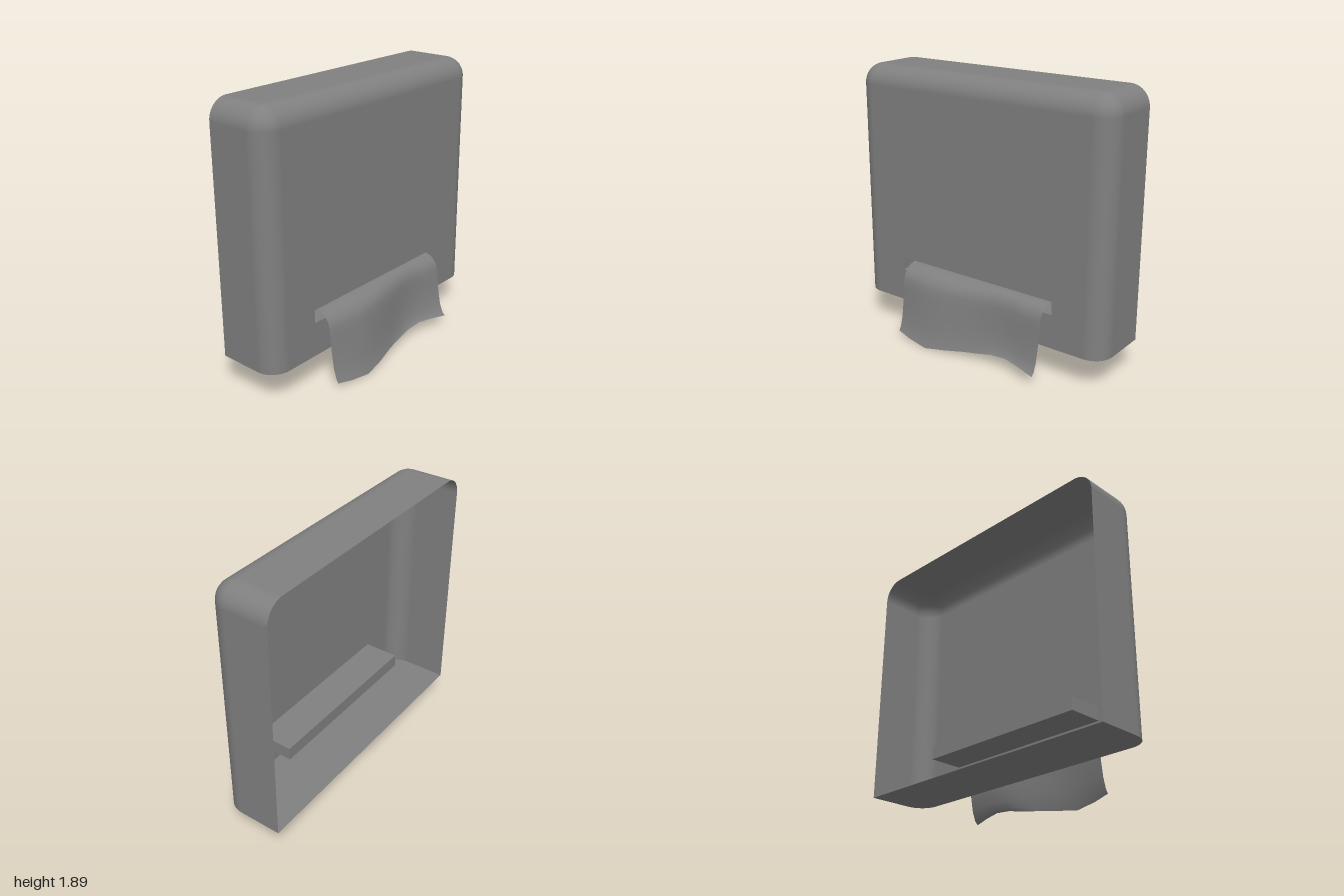
import * as THREE from 'three';

const BACK = -0.3, FRONT = 0.138, BASE = 0.225, TOP = 1.89, HALF = 1, R = 0.135;
const SLOT = { half: 0.627, y0: 0.458, y1: 0.549, depth: 0.245 };

const material = new THREE.MeshStandardMaterial({ color: 0x808080, side: THREE.DoubleSide });

function part(name, geometry) {
  const mesh = new THREE.Mesh(geometry, material);
  mesh.name = name;
  return mesh;
}

// Index for a grid of vertices stored row by row
function gridIndex(rows, cols) {
  const index = [];
  for (let i = 0; i < rows - 1; i++) {
    for (let j = 0; j < cols - 1; j++) {
      const a = i * cols + j, b = a + cols;
      index.push(a, b, a + 1, b, b + 1, a + 1);
    }
  }
  return index;
}

// Sides and top of the cover, rolling over into the front face
function coverShell() {
  const steps = 10, outline = [];
  const cy = TOP - R, cz = HALF - R;
  outline.push({ y: BASE, z: cz, dy: 0, dz: 1 });
  for (const side of [1, -1]) {
    for (let k = 0; k <= steps; k++) {
      const t = (side > 0 ? k : steps - k) / steps * Math.PI / 2;
      outline.push({ y: cy, z: side * cz, dy: Math.sin(t), dz: side * Math.cos(t) });
    }
  }
  outline.push({ y: BASE, z: -cz, dy: 0, dz: -1 });

  const rings = [{ x: BACK, a: 0 }];
  for (let k = 0; k <= steps; k++) {
    const a = k / steps * Math.PI / 2;
    rings.push({ x: FRONT - R + R * Math.sin(a), a });
  }
  const pos = [], nor = [];
  for (const { x, a } of rings) {
    const c = Math.cos(a);
    for (const p of outline) {
      pos.push(x, p.y + p.dy * R * c, p.z + p.dz * R * c);
      nor.push(Math.sin(a), p.dy * c, p.dz * c);
    }
  }
  const g = new THREE.BufferGeometry();
  g.setAttribute('position', new THREE.Float32BufferAttribute(pos, 3));
  g.setAttribute('normal', new THREE.Float32BufferAttribute(nor, 3));
  g.setIndex(gridIndex(rings.length, outline.length));
  return g;
}

function rectangle(Type, x0, y0, x1, y1) {
  return new Type([[x0, y0], [x1, y0], [x1, y1], [x0, y1]].map(p => new THREE.Vector2(...p)));
}

// Flat front face with the slot cut out
function frontFace() {
  const w = HALF - R;
  const shape = rectangle(THREE.Shape, -w, BASE, w, TOP - R);
  shape.holes.push(rectangle(THREE.Path, -SLOT.half, SLOT.y0, SLOT.half, SLOT.y1));
  return new THREE.ShapeGeometry(shape).rotateY(Math.PI / 2).translate(FRONT, 0, 0);
}

// Floor with rounded front corners
function floorPlate() {
  const s = new THREE.Shape();
  s.moveTo(BACK, -HALF);
  s.lineTo(FRONT - R, -HALF);
  s.absarc(FRONT - R, -HALF + R, R, -Math.PI / 2, 0);
  s.lineTo(FRONT, HALF - R);
  s.absarc(FRONT - R, HALF - R, R, 0, Math.PI / 2);
  s.lineTo(BACK, HALF);
  return new THREE.ShapeGeometry(s, 10).rotateX(Math.PI / 2).translate(0, BASE, 0);
}

// Box behind the slot, open towards the front
function slotRecess() {
  const g = new THREE.BoxGeometry(SLOT.depth, SLOT.y1 - SLOT.y0, SLOT.half * 2);
  g.setIndex(Array.from(g.index.array).slice(6));
  g.clearGroups();
  return g.translate(FRONT - SLOT.depth / 2, (SLOT.y0 + SLOT.y1) / 2, 0);
}

// Thin wavy sheet hanging out of the slot
function hangingSheet() {
  // z, x and y of the lower edge, sideways wave of the middle
  const columns = [
    [0.565, 0.27, 0.043, 0.0], [0.45, 0.285, 0.018, 0.015], [0.3, 0.3, 0, 0.03],
    [0.15, 0.28, 0.022, 0.02], [0.0, 0.245, 0.043, 0.0], [-0.1, 0.23, 0.056, -0.015],
    [-0.22, 0.228, 0.084, -0.03], [-0.34, 0.232, 0.094, -0.03], [-0.45, 0.255, 0.086, -0.015],
    [-0.585, 0.285, 0.068, 0.0],
  ];
  // x, y, share of the wave, blend towards the lower edge
  const rows = [
    [0.03, 0.523, 0, 0], [0.09, 0.52, 0, 0], [0.135, 0.508, 0.1, 0], [0.165, 0.487, 0.4, 0],
    [0.19, 0.455, 0.7, 0], [0.203, 0.41, 0.9, 0], [0.208, 0.35, 1, 0], [0.211, 0.27, 1, 0.15],
    [0.215, 0.19, 0.8, 0.35], [0.223, 0.13, 0.4, 0.65], [0, 0, 0, 1],
  ];
  const pos = [];
  for (const [x, y, wave, blend] of rows) {
    for (const [z, xEnd, yEnd, offset] of columns) {
      pos.push(
        THREE.MathUtils.lerp(x, xEnd, blend) + offset * wave,
        THREE.MathUtils.lerp(y, yEnd, blend),
        z,
      );
    }
  }
  const g = new THREE.BufferGeometry();
  g.setAttribute('position', new THREE.Float32BufferAttribute(pos, 3));
  g.setIndex(gridIndex(rows.length, columns.length));
  g.computeVertexNormals();
  return g;
}

export function createModel() {
  const model = new THREE.Group();
  model.name = 'sheetDispenser';
  const cover = new THREE.Group();
  cover.name = 'cover';
  cover.add(
    part('coverShell', coverShell()),
    part('frontFace', frontFace()),
    part('floorPlate', floorPlate()),
    part('slotRecess', slotRecess()),
  );
  model.add(cover, part('hangingSheet', hangingSheet()));
  return model;
}
